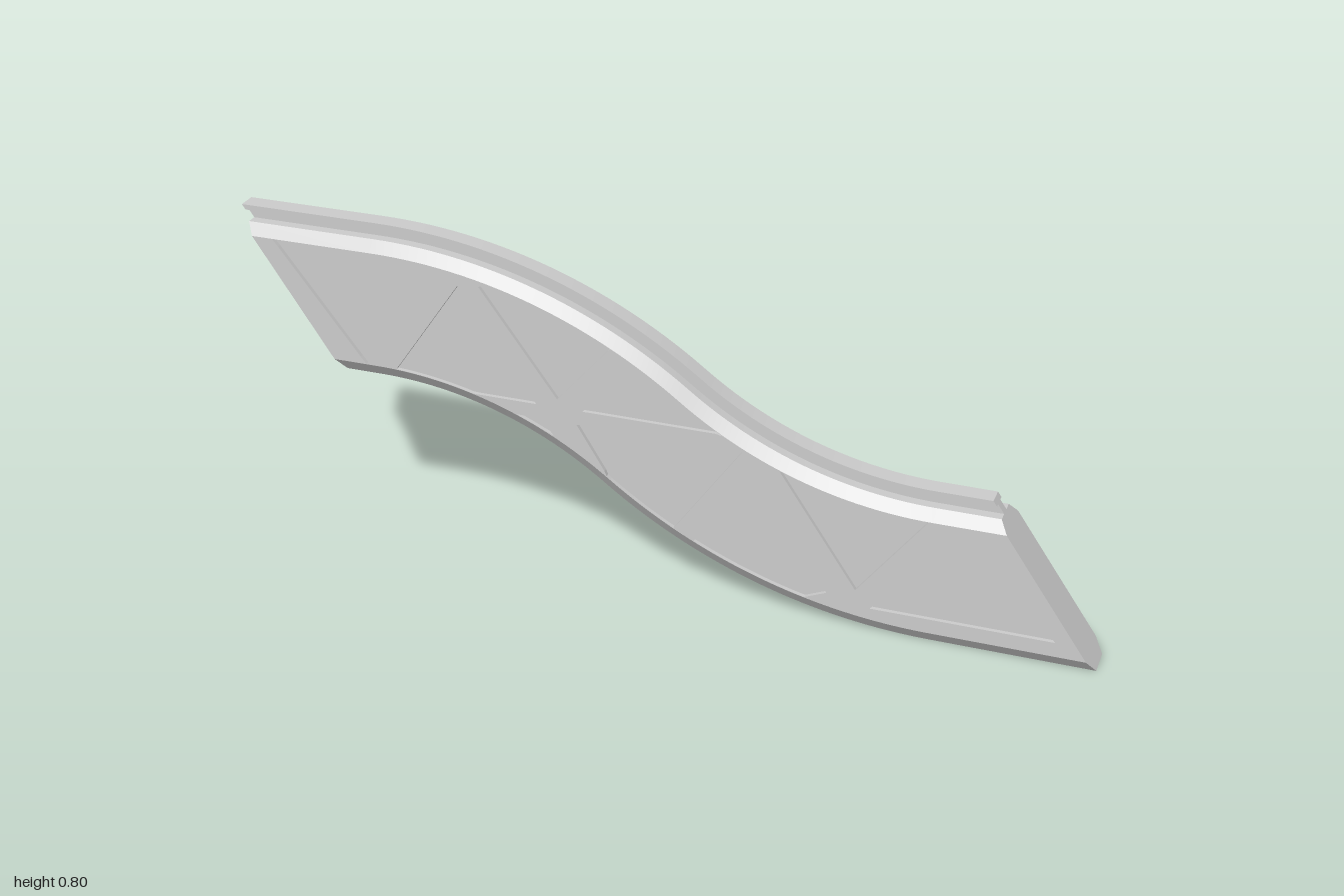
import * as THREE from 'three';
import { toCreasedNormals } from 'three/addons/utils/BufferGeometryUtils.js';

const H = 0.365;                 // full height of the cross-section
const DROP = 0.435;              // height lost from left end to right end
const XL = -0.67, XR = 0.63;     // where the two bends start and end
const THETA = 2 * Math.atan(DROP / (XR - XL));
const R = (XR - XL) / 2 / Math.sin(THETA);
const C1 = { x: XL, y: DROP + H / 2 - R };   // centre of the upper bend
const C2 = { x: XR, y: H / 2 + R };          // centre of the lower bend
const STEPS = 28;
const LOW = 0.03, HIGH = 0.307;  // side face between the chamfers
const FACE = 0.057, DEPTH = 0.01;

// Stations along the S-curve: each maps a height h in the section to [x, y]
const stations = [h => [-0.755 - 0.671 * h, DROP + h]];
for (let i = 0; i <= STEPS; i++) {
  const a = THETA * i / STEPS;
  stations.push(h => {
    const r = R - H / 2 + h;
    return [C1.x + r * Math.sin(a), C1.y + r * Math.cos(a)];
  });
}
for (let i = STEPS - 1; i >= 0; i--) {
  const a = THETA * i / STEPS;
  stations.push(h => {
    const r = R + H / 2 - h;
    return [C2.x - r * Math.sin(a), C2.y - r * Math.cos(a)];
  });
}
stations.push(h => [1 - 0.69 * h, h]);

// Moves a point along the section normal so that it stays within the side face
function clampToFace(x, y) {
  const lo = LOW + 0.001, hi = HIGH - 0.001;
  const clamp = h => THREE.MathUtils.clamp(h, lo, hi);
  if (x < XL) return new THREE.Vector2(x, DROP + clamp(y - DROP));
  if (x > XR) return new THREE.Vector2(x, clamp(y));
  const side = (C2.x - C1.x) * (y - C1.y) - (C2.y - C1.y) * (x - C1.x);
  const upper = side > 0;
  const c = upper ? C1 : C2;
  const d = Math.hypot(x - c.x, y - c.y);
  const r = upper ? clamp(d - R + H / 2) + R - H / 2 : R + H / 2 - clamp(R + H / 2 - d);
  return new THREE.Vector2(c.x + (x - c.x) * r / d, c.y + (y - c.y) * r / d);
}

// Sweeps a closed [z, h] profile along the stations and caps both slanted ends
function sweep(profile) {
  const n = profile.length, pos = [], index = [];
  for (const at of stations)
    for (const [z, h] of profile) pos.push(...at(h), z);
  for (let i = 0; i < stations.length - 1; i++)
    for (let j = 0; j < n; j++) {
      const k = (j + 1) % n, a = i * n, b = a + n;
      index.push(a + j, b + j, a + k, b + j, b + k, a + k);
    }
  const last = (stations.length - 1) * n;
  const contour = profile.map(([z, h]) => new THREE.Vector2(z, h));
  for (const [a, b, c] of THREE.ShapeUtils.triangulateShape(contour, []))
    index.push(a, b, c, last + a, last + c, last + b);
  const g = new THREE.BufferGeometry();
  g.setAttribute('position', new THREE.Float32BufferAttribute(pos, 3));
  g.setIndex(index);
  return toCreasedNormals(g, 0.4);
}

// Truss openings; corners beyond the face get pulled onto its curved border
const openings = [
  [[-0.91, 0.742], [-0.695, 0.465], [-0.5, 0.72], [-0.7, 0.9]],
  [[-0.62, 0.465], [-0.47, 0.435], [-0.28, 0.435], [-0.46, 0.695]],
  [[-0.41, 0.7], [-0.23, 0.455], [-0.09, 0.615], [-0.2, 0.8]],
  [[-0.17, 0.435], [0.16, 0.435], [0.1, 0.6], [-0.045, 0.59]],
  [[-0.185, 0.4], [-0.12, 0.295], [-0.04, 0.1], [0.04, 0.175], [0.2, 0.4]],
  [[-0.34, 0.402], [-0.24, 0.363], [-0.27, 0.4]],
  [[0.09, 0.155], [0.2, 0], [0.4, 0.085], [0.235, 0.36]],
  [[0.285, 0.37], [0.465, 0.105], [0.62, 0.307], [0.45, 0.5]],
  [[0.5, 0.065], [0.91, 0.065], [0.73, 0.305], [0.675, 0.305]],
];

function openingPath(corners) {
  const pts = [], n = 16;
  corners.forEach(([x, y], i) => {
    const [u, v] = corners[(i + 1) % corners.length];
    for (let k = 0; k < n; k++)
      pts.push(clampToFace(x + (u - x) * k / n, y + (v - y) * k / n));
  });
  return new THREE.Path(pts);
}

export function createModel() {
  const group = new THREE.Group();
  group.name = 'curvedTrackSection';
  const material = new THREE.MeshStandardMaterial({ color: 0xcccccc });
  const add = (name, geometry) => {
    const mesh = new THREE.Mesh(geometry, material);
    mesh.name = name;
    group.add(mesh);
    return mesh;
  };

  // Chamfered beam with sunken side walls and a T-shaped rail on top
  const half = [
    [0.035, 0], [FACE, LOW], [FACE - DEPTH, LOW], [FACE - DEPTH, HIGH], [FACE, HIGH],
    [0.035, 0.332], [0.011, 0.332], [0.011, 0.353], [0.022, 0.353], [0.022, H],
  ];
  const mirrored = half.map(([z, h]) => [-z, h]).reverse();
  add('beamWithRail', sweep([...half, ...mirrored]));

  // Truss ribs laid over the sunken walls on both sides
  const outline = [
    ...stations.map(at => new THREE.Vector2(...at(LOW))),
    ...stations.map(at => new THREE.Vector2(...at(HIGH))).reverse(),
  ];
  const truss = new THREE.Shape(outline);
  truss.holes = openings.map(openingPath);
  const trussGeometry = new THREE.ExtrudeGeometry(truss, { depth: DEPTH, bevelEnabled: false });
  add('frontTruss', trussGeometry).position.z = FACE - DEPTH;
  add('backTruss', trussGeometry).position.z = -FACE;

  return group;
}
